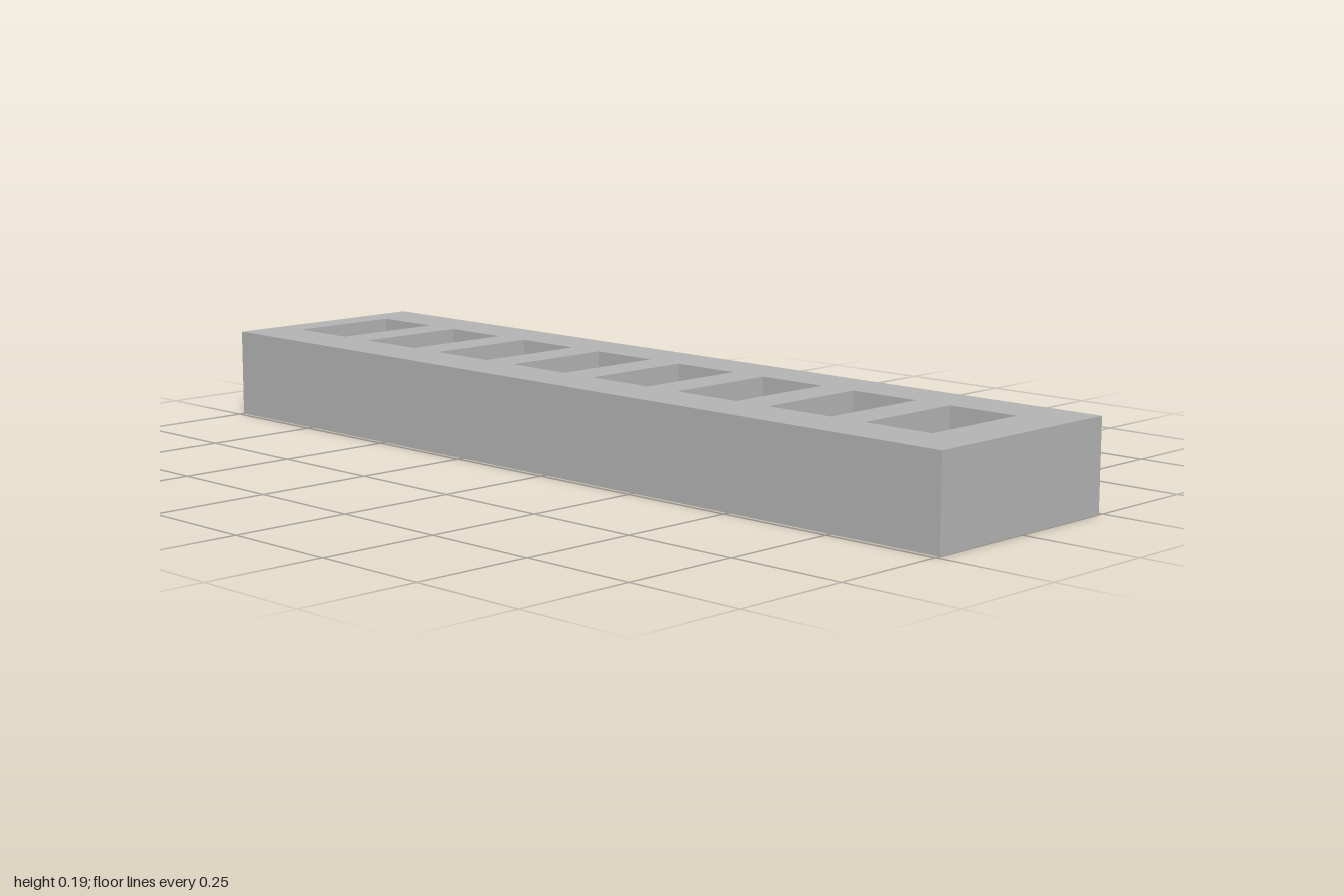
import * as THREE from 'three';

const LENGTH = 2, DEPTH = 0.476, HEIGHT = 0.188;
const HOLES = 8, PITCH = 0.2376, FIRST_X = -0.931;
const HOLE_WIDTH = 0.156, HOLE_BACK = -0.127, HOLE_FRONT = 0.123;

// Traces a rectangle into a Shape or Path
function rectangle(path, x0, y0, x1, y1) {
  path.moveTo(x0, y0);
  path.lineTo(x1, y0);
  path.lineTo(x1, y1);
  path.lineTo(x0, y1);
  path.closePath();
  return path;
}

export function createModel() {
  const group = new THREE.Group();
  group.name = 'slottedBar';

  const grey = new THREE.MeshStandardMaterial({ color: 0xb2b2b2 });
  grey.name = 'grey';

  // Bar outline in plan; shape y becomes -z
  const outline = rectangle(new THREE.Shape(), -LENGTH / 2, -DEPTH / 2, LENGTH / 2, DEPTH / 2);

  // Row of rectangular through holes
  for (let i = 0; i < HOLES; i++) {
    const x = FIRST_X + i * PITCH;
    outline.holes.push(rectangle(new THREE.Path(), x, -HOLE_FRONT, x + HOLE_WIDTH, -HOLE_BACK));
  }

  // Extruded upwards from the ground
  const geometry = new THREE.ExtrudeGeometry(outline, { depth: HEIGHT, bevelEnabled: false });
  geometry.rotateX(-Math.PI / 2);

  const bar = new THREE.Mesh(geometry, grey);
  bar.name = 'bar';
  group.add(bar);
  return group;
}
